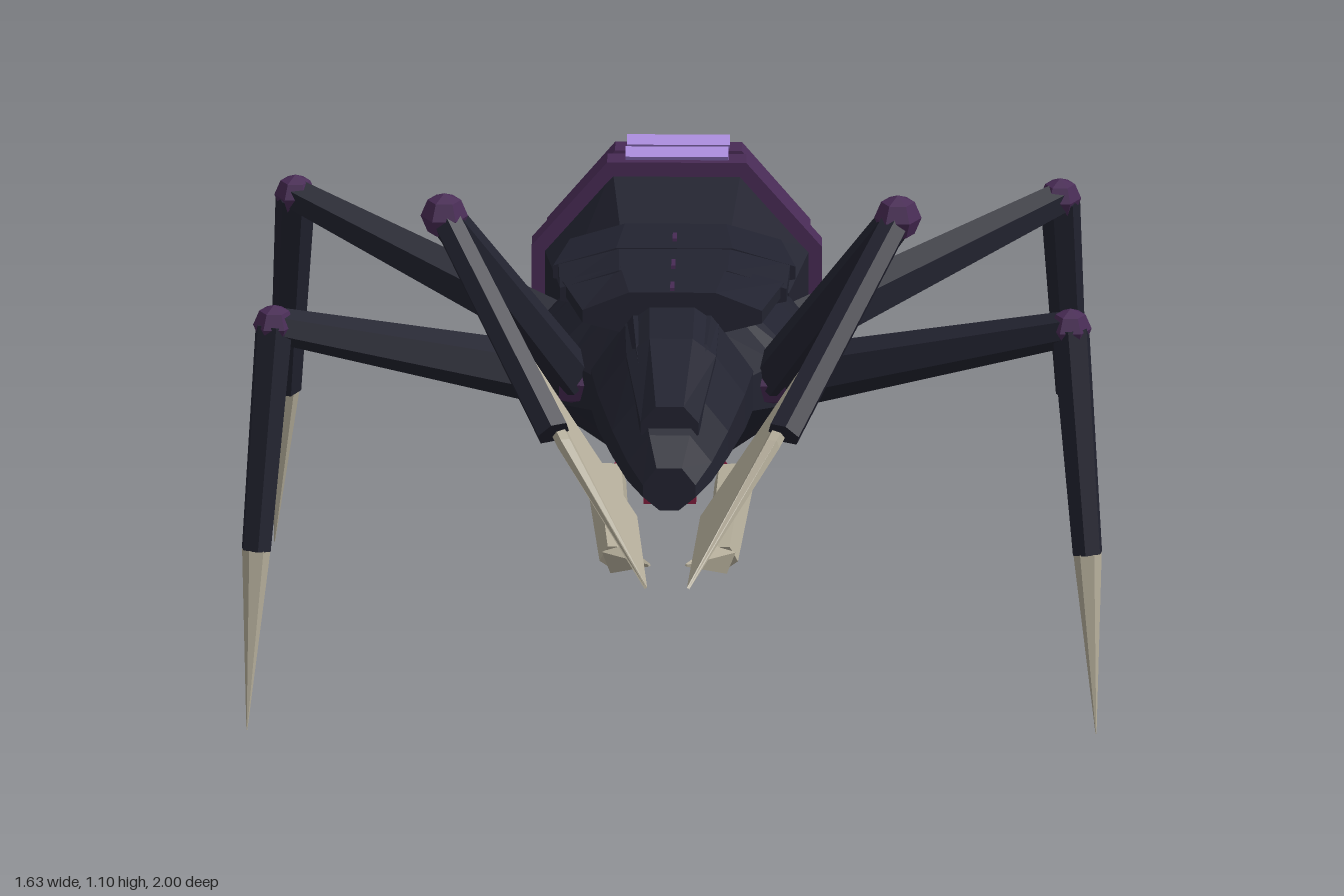
import * as THREE from 'three';

const mat = (name, color) => {
  const m = new THREE.MeshStandardMaterial({ color, flatShading: true });
  m.name = name;
  return m;
};

export function createModel() {
  const root = new THREE.Group();
  root.name = 'insectCreature';
  const shell = mat('dark shell', 0x222330);
  const purple = mat('purple joint', 0x482b55);
  const glow = mat('lilac glow', 0xa583dc);
  const bone = mat('bone', 0xb3ac99);
  const red = mat('crimson mouth', 0x7d1c3a);
  const V = (x, y, z) => new THREE.Vector3(x, y, z);

  const add = (parent, name, geo, material) => {
    const m = new THREE.Mesh(geo, material);
    m.name = name;
    parent.add(m);
    return m;
  };

  // Closed skin over rings of points; each ring runs counterclockwise around the ring direction
  const skin = (rings) => {
    const pos = [];
    const tri = (...p) => p.forEach((v) => pos.push(v.x, v.y, v.z));
    const n = rings[0].length;
    for (let i = 0; i < rings.length - 1; i++) {
      for (let j = 0; j < n; j++) {
        const k = (j + 1) % n;
        const [a, b, c, d] = [rings[i][j], rings[i][k], rings[i + 1][k], rings[i + 1][j]];
        tri(a, b, c);
        tri(a, c, d);
      }
    }
    const back = rings[0], front = rings[rings.length - 1];
    for (let j = 1; j < n - 1; j++) {
      tri(front[0], front[j], front[j + 1]);
      tri(back[0], back[j + 1], back[j]);
    }
    const g = new THREE.BufferGeometry();
    g.setAttribute('position', new THREE.Float32BufferAttribute(pos, 3));
    g.computeVertexNormals();
    return g;
  };

  // Eight-sided body section: [z, half width, bottom, top]
  const octagon = ([z, w, lo, hi]) => {
    const h = hi - lo;
    return [[0.36, 0], [1, 0.32], [1, 0.6], [0.48, 1], [-0.48, 1], [-1, 0.6], [-1, 0.32], [-0.36, 0]]
      .map(([x, y]) => V(x * w, lo + y * h, z));
  };
  const body = (name, sections, material = shell) => add(root, name, skin(sections.map(octagon)), material);

  // Tapered rod between two points
  const rod = (parent, name, a, b, ra, rb, material, sides = 6) => {
    const d = b.clone().sub(a);
    const m = add(parent, name, new THREE.CylinderGeometry(rb, ra, d.length(), sides), material);
    m.position.copy(a).addScaledVector(d, 0.5);
    m.quaternion.setFromUnitVectors(V(0, 1, 0), d.normalize());
    return m;
  };
  const joint = (parent, name, p, r) => {
    add(parent, name, new THREE.SphereGeometry(r, 6, 4), purple).position.copy(p);
  };

  // Abdomen
  body('abdomen', [
    [-1, 0.015, 0.435, 0.47], [-0.94, 0.065, 0.43, 0.53], [-0.79, 0.16, 0.435, 0.67],
    [-0.58, 0.235, 0.45, 0.81], [-0.355, 0.255, 0.475, 0.865], [-0.16, 0.215, 0.51, 0.8],
  ]);

  // Abdomen bands with glowing bars on top
  for (const [z, w, lo, hi] of [[-0.355, 0.275, 0.465, 0.885], [-0.58, 0.25, 0.44, 0.828], [-0.79, 0.172, 0.425, 0.69]]) {
    body('abdomenBand', [[z - 0.025, w, lo, hi], [z + 0.025, w, lo, hi]], purple);
    const bar = add(root, 'glowBar', new THREE.BoxGeometry(0.195, 0.022, 0.022), glow);
    bar.position.set(0, hi + 0.01, z + 0.005);
    bar.rotation.x = Math.PI / 4;
  }

  // Thorax and its overlapping back plates
  body('thorax', [
    [-0.18, 0.215, 0.495, 0.79], [-0.02, 0.262, 0.465, 0.81], [0.04, 0.262, 0.46, 0.815],
    [0.2, 0.24, 0.48, 0.815], [0.24, 0.2, 0.5, 0.815], [0.32, 0.15, 0.54, 0.79],
  ]);
  for (const [z0, z1, w0, w1, y] of [[-0.17, 0, 0.2, 0.23, 0.832], [-0.02, 0.15, 0.22, 0.215, 0.841], [0.12, 0.3, 0.21, 0.17, 0.851]]) {
    body('backPlate', [[z0, w0, y - 0.09, y - 0.012], [z1, w1, y - 0.09, y]]);
  }
  for (const [z, y] of [[-0.065, 0.829], [0.12, 0.842], [0.27, 0.851]]) {
    add(root, 'backRidge', new THREE.BoxGeometry(0.008, 0.01, 0.035), purple).position.set(0, y, z);
  }

  // Head and crest
  body('head', [
    [0.26, 0.16, 0.53, 0.81], [0.42, 0.14, 0.54, 0.79], [0.56, 0.11, 0.555, 0.74],
    [0.65, 0.08, 0.555, 0.69], [0.71, 0.05, 0.56, 0.645],
  ]);
  body('headCrest', [[0.27, 0.09, 0.74, 0.825], [0.43, 0.085, 0.72, 0.805], [0.635, 0.055, 0.66, 0.742]]);

  // Mouth
  add(root, 'mouth', new THREE.BoxGeometry(0.1, 0.025, 0.13), red).position.set(0, 0.553, 0.555);

  for (const s of [1, -1]) {
    const P = (x, y, z) => V(s * x, y, z);
    const side = s > 0 ? 'left' : 'right';

    // Mandible: root, thick part and inward fang
    const jaw = new THREE.Group();
    jaw.name = side + 'Mandible';
    root.add(jaw);
    const bend = P(0.1, 0.485, 0.765);
    rod(jaw, 'mandibleRoot', P(0.1, 0.562, 0.48), P(0.115, 0.562, 0.56), 0.016, 0.02, red, 4);
    rod(jaw, 'mandibleBase', P(0.12, 0.565, 0.535), bend, 0.04, 0.032, bone, 5);
    rod(jaw, 'mandibleFang', bend, P(0.035, 0.515, 0.89), 0.032, 0.003, bone, 4);

    // Raised scythe arm
    const arm = new THREE.Group();
    arm.name = side + 'ScytheArm';
    root.add(arm);
    const shoulder = P(0.19, 0.66, 0.25), elbow = P(0.43, 1.055, 0.44), wrist = P(0.218, 0.742, 0.785);
    joint(arm, 'shoulderJoint', shoulder, 0.05);
    rod(arm, 'upperArm', shoulder, elbow, 0.048, 0.035, shell);
    joint(arm, 'elbowJoint', elbow, 0.045);
    rod(arm, 'forearm', elbow, wrist, 0.03, 0.034, shell);

    // Flat blade hanging under the forearm
    const edge = [P(0.31, 0.875, 0.575), P(0.205, 0.735, 0.8), P(0.04, 0.508, 1), P(0.06, 0.545, 0.76)];
    const n = edge[1].clone().sub(edge[0]).cross(edge[2].clone().sub(edge[0])).normalize();
    const mid = edge.reduce((t, p) => t.addScaledVector(p, 0.25), V(0, 0, 0));
    const rim = (k, f) => edge.map((p, i) => p.clone().lerp(mid, i === 2 ? 0 : f).addScaledVector(n, k * (i === 2 ? 0.2 : 1)));
    add(arm, 'scytheBlade', skin([rim(-0.014, 0.12), rim(0, 0), rim(0.014, 0.12)]), bone);

    // Walking legs: hip, knee, ankle, tip
    const legs = [
      ['front', P(0.2, 0.595, 0.07), P(0.755, 0.77, 0.265), P(0.788, 0.34, 0.33), P(0.805, 0, 0.395)],
      ['rear', P(0.18, 0.585, -0.16), P(0.725, 0.765, -0.475), P(0.745, 0.335, -0.585), P(0.767, 0, -0.655)],
    ];
    for (const [name, hip, knee, ankle, tip] of legs) {
      const leg = new THREE.Group();
      leg.name = `${side}${name[0].toUpperCase()}${name.slice(1)}Leg`;
      root.add(leg);
      joint(leg, 'hipJoint', hip, 0.058);
      rod(leg, 'upperLeg', hip, knee, 0.06, 0.034, shell);
      joint(leg, 'kneeJoint', knee, 0.04);
      rod(leg, 'lowerLeg', knee, ankle, 0.038, 0.03, shell);
      rod(leg, 'claw', ankle, tip, 0.027, 0.001, bone);
    }
  }
  return root;
}
